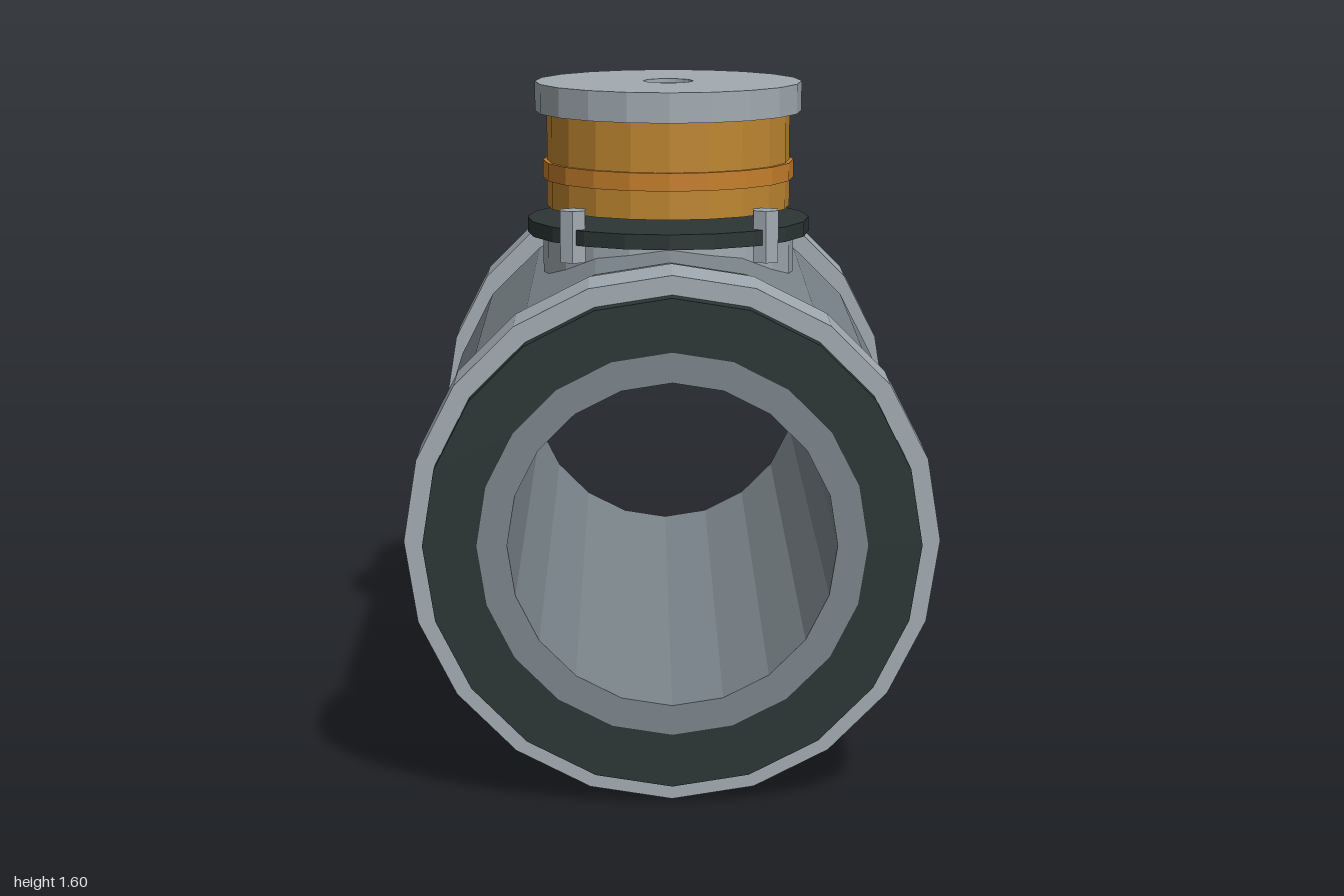
import * as THREE from 'three';

const SIDES = 20;
const AXIS_Y = 0.62;

function paint(name, color) {
  const m = new THREE.MeshStandardMaterial({ color, flatShading: true });
  m.name = name;
  return m;
}

// Hollow ring along y, from a closed rectangular profile
function ringGeometry(outer, inner, from, to) {
  const profile = [[inner, from], [outer, from], [outer, to], [inner, to], [inner, from]];
  return new THREE.LatheGeometry(profile.map(([r, h]) => new THREE.Vector2(r, h)), SIDES);
}

function diskGeometry(radius, from, to, sides = SIDES) {
  return new THREE.CylinderGeometry(radius, radius, to - from, sides).translate(0, (from + to) / 2, 0);
}

export function createModel() {
  const pipeGrey = paint('pipe grey', 0x7b858b);
  const steel = paint('light steel', 0xa2abb2);
  const rubber = paint('dark rubber', 0x2c3535);
  const brass = paint('brass', 0xbe8630);
  const copper = paint('copper band', 0xc67f2b);

  const model = new THREE.Group();
  const add = (parent, name, geometry, material) => {
    const mesh = new THREE.Mesh(geometry, material);
    mesh.name = name;
    parent.add(mesh);
    return mesh;
  };

  // Horizontal pipe lying along z
  const run = new THREE.Group();
  run.name = 'pipeRun';
  run.position.y = AXIS_Y;
  run.rotation.x = Math.PI / 2;
  model.add(run);
  add(run, 'pipe', ringGeometry(0.45, 0.38, -1, 1), pipeGrey);
  add(run, 'body', ringGeometry(0.59, 0.44, -0.54, 0.54), pipeGrey);

  // Flange, gasket and eight bolts at each end
  for (const [end, side] of [['front', 1], ['back', -1]]) {
    const span = (a, b) => (side > 0 ? [a, b] : [-b, -a]);
    add(run, end + 'Flange', ringGeometry(0.62, 0.44, ...span(0.76, 0.95)), steel);
    add(run, end + 'Gasket', ringGeometry(0.575, 0.45, ...span(0.95, 1)), rubber);
    for (let i = 0; i < 8; i++) {
      const angle = (i * Math.PI) / 4;
      const bolt = add(run, end + 'FlangeBolt', diskGeometry(0.045, ...span(0.72, 0.77), 6), steel);
      bolt.position.set(Math.cos(angle) * 0.51, 0, Math.sin(angle) * 0.51);
    }
  }

  // Vertical valve tower
  const tower = new THREE.Group();
  tower.name = 'valveTower';
  model.add(tower);
  add(tower, 'neck', diskGeometry(0.32, 0.98, 1.215), steel);
  add(tower, 'neckGasket', diskGeometry(0.36, 1.215, 1.253), rubber);
  add(tower, 'stem', diskGeometry(0.063, 1.25, 1.59), steel);
  add(tower, 'sleeve', ringGeometry(0.31, 0.06, 1.283, 1.527), brass);
  add(tower, 'sleeveBand', ringGeometry(0.32, 0.3, 1.355, 1.4), copper);
  add(tower, 'cap', ringGeometry(0.34, 0.063, 1.525, 1.6), steel);

  // Four clamp bolts around the neck gasket
  for (const x of [-0.24, 0.24]) {
    for (const z of [-0.24, 0.24]) {
      add(tower, 'clampBolt', diskGeometry(0.036, 1.17, 1.3, 6), steel).position.set(x, 0, z);
    }
  }
  return model;
}
